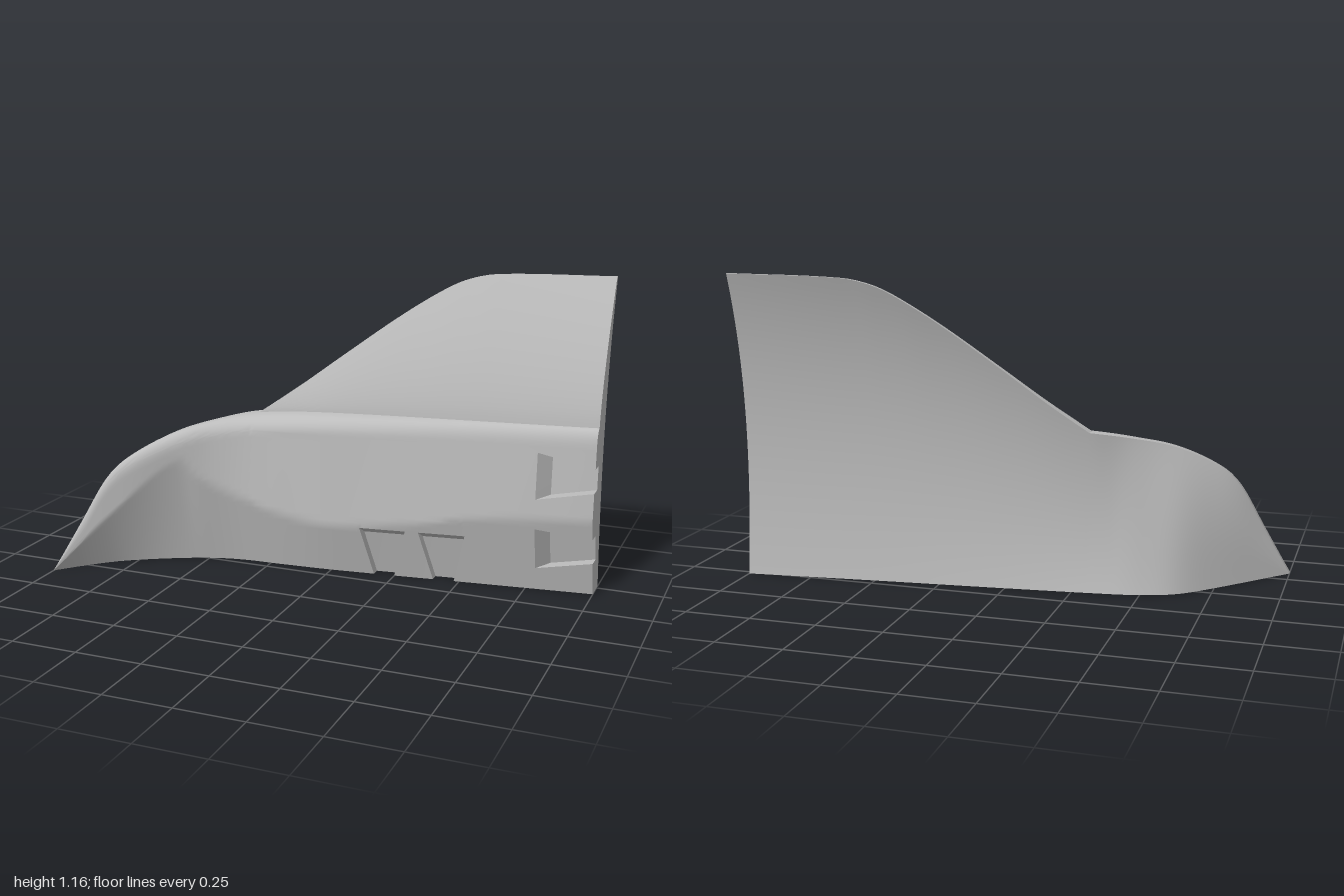
import * as THREE from 'three';
import { mergeGeometries, toCreasedNormals } from 'three/addons/utils/BufferGeometryUtils.js';

// Smooth curve through a few [x, value] points
function curve(pts) {
  const n = pts.length;
  const slope = (i) => {
    const a = pts[Math.max(0, i - 1)], b = pts[Math.min(n - 1, i + 1)];
    return (b[1] - a[1]) / (b[0] - a[0]);
  };
  return (x) => {
    let i = 0;
    while (i < n - 2 && x > pts[i + 1][0]) i++;
    const [x0, y0] = pts[i], [x1, y1] = pts[i + 1];
    const h = x1 - x0, t = Math.min(1, Math.max(0, (x - x0) / h));
    const t2 = t * t, t3 = t2 * t;
    return y0 * (2 * t3 - 3 * t2 + 1) + y1 * (3 * t2 - 2 * t3)
      + h * (slope(i) * (t3 - 2 * t2 + t) + slope(i + 1) * (t3 - t2));
  };
}

// Outline heights
const START = -0.31; // where the upper panel begins
const beltY = curve([[-1, 0], [-0.9, 0.2], [-0.82, 0.36], [-0.75, 0.44], [-0.6, 0.53],
  [-0.45, 0.575], [START, 0.6], [0, 0.62], [1, 0.645]]);
const panelY = curve([[START, 0.6], [-0.15, 0.715], [0, 0.83], [0.2, 0.98], [0.35, 1.08],
  [0.45, 1.13], [0.57, 1.155], [1, 1.165]]);
const topY = (x) => (x <= START ? beltY(x) : Math.max(beltY(x), panelY(x)));
// Depths of the front surface at its foot, break line, shoulder and belt
const footZ = curve([[-1, 0.355], [-0.9, 0.245], [-0.8, 0.155], [-0.57, 0.025], [-0.4, -0.03],
  [-0.2, -0.045], [0, -0.06], [0.5, -0.12], [1, -0.18]]);
const breakY = curve([[-1, 0], [-0.8, 0.22], [-0.57, 0.43], [-0.5, 0.36], [-0.4, 0.3],
  [-0.2, 0.23], [0, 0.2], [0.3, 0.23], [0.6, 0.28], [1, 0.305]]);
const breakZ = curve([[-1, 0.36], [-0.77, 0.235], [-0.57, 0.115], [-0.4, 0.04], [-0.19, 0.01],
  [0, -0.005], [0.5, -0.055], [1, -0.105]]);
const shoulderZ = curve([[-1, 0.36], [-0.77, 0.235], [-0.57, 0.115], [-0.45, 0.045],
  [-0.3, 0], [0, -0.03], [0.5, -0.08], [1, -0.118]]);
const beltZ = curve([[-1, 0.35], [-0.8, 0.22], [-0.6, 0.08], [-0.45, -0.015], [START, -0.08],
  [0, -0.105], [0.5, -0.125], [1, -0.15]]);
const panelZ = curve([[START, -0.08], [-0.15, -0.13], [0, -0.175], [0.2, -0.232], [0.35, -0.274],
  [0.5, -0.303], [1, -0.345]]);
const topZ = (x) => (x <= START ? beltZ(x) : panelZ(x));
// Thickness of the top edge, and foot of the back surface
const edge = curve([[-1, 0.02], [-0.6, 0.025], [START, 0.04], [0, 0.022], [0.4, 0.015], [1, 0.015]]);
const backZ = curve([[-1, 0.33], [-0.72, 0.03], [-0.62, -0.055], [-0.5, -0.1], [-0.4, -0.12],
  [0, -0.165], [0.5, -0.215], [1, -0.27]]);

function frontZ(x, y) {
  const yb = beltY(x), ym = breakY(x), ys = yb - Math.min(0.07, 0.3 * yb);
  if (y <= ym) return THREE.MathUtils.lerp(footZ(x), breakZ(x), ym > 0 ? y / ym : 0);
  if (y <= ys) return THREE.MathUtils.lerp(breakZ(x), shoulderZ(x), (y - ym) / (ys - ym));
  if (y <= yb) {
    const q = Math.min(1, (y - ys) / Math.max(1e-6, yb - ys));
    return beltZ(x) + (shoulderZ(x) - beltZ(x)) * Math.sqrt(1 - q * q);
  }
  const p = Math.min(1, (y - yb) / Math.max(1e-6, topY(x) - yb));
  return beltZ(x) + (topZ(x) - beltZ(x)) * Math.pow(p, 1.4);
}

function rearZ(x, y) {
  const t = Math.min(1, y / Math.max(1e-6, topY(x)));
  const bulge = 0.13 * Math.min(1, (x + 1) / 0.6);
  return backZ(x) + (topZ(x) - edge(x) - backZ(x)) * t ** 3 + bulge * t * (1 - t);
}

// Surface over two lists of parameters; cells may be skipped
function sheet(us, vs, point, skip = () => false) {
  const pos = [], index = [], n = vs.length, P = [];
  for (const u of us) for (const v of vs) {
    const p = new THREE.Vector3(...point(u, v));
    P.push(p);
    pos.push(p.x, p.y, p.z);
  }
  const area = new THREE.Triangle();
  const tri = (a, b, c) => {
    if (area.set(P[a], P[b], P[c]).getArea() > 1e-9) index.push(a, b, c);
  };
  for (let i = 0; i < us.length - 1; i++) for (let j = 0; j < n - 1; j++) {
    if (skip((us[i] + us[i + 1]) / 2, (vs[j] + vs[j + 1]) / 2)) continue;
    const a = i * n + j, b = a + n;
    tri(a, b, b + 1);
    tri(a, b + 1, a + 1);
  }
  const g = new THREE.BufferGeometry();
  g.setAttribute('position', new THREE.Float32BufferAttribute(pos, 3));
  g.setIndex(index);
  return g;
}

const steps = (a, b, n) => Array.from({ length: n + 1 }, (_, i) => a + (b - a) * i / n);
const sorted = (list) => [...new Set(list.map((v) => +v.toFixed(4)))].sort((a, b) => a - b);

// Tapered pockets: corners anticlockwise, first edge open; span is the open side of the frame,
// inset is how far the floor stops short of the closed end
const low = { depth: 0.035, inset: 0.13 }, side = { depth: 0.053, inset: 0.21 };
const pockets = [
  { q: [[0.17, 0], [0.25, 0], [0.305, 0.2], [0.13, 0.2]], span: [[0.13, 0], [0.305, 0]], ...low },
  { q: [[0.4, 0], [0.48, 0], [0.53, 0.2], [0.355, 0.2]], span: [[0.355, 0], [0.53, 0]], ...low },
  { q: [[1, 0.41], [1, 0.5], [0.79, 0.545], [0.79, 0.37]], span: [[1, 0.37], [1, 0.545]], ...side },
  { q: [[1, 0.13], [1, 0.23], [0.79, 0.255], [0.79, 0.09]], span: [[1, 0.09], [1, 0.255]], ...side },
];
const inPocket = (x, y) => pockets.some(({ span: [a, b], q }) =>
  x > Math.min(a[0], q[3][0]) && x < Math.max(b[0], q[2][0])
  && y > a[1] && y < Math.max(b[1], q[2][1]));

function pocketSheets({ q, span, depth, inset }) {
  const s = steps(0, 1, 8);
  const mix = (a, b, t) => [a[0] + (b[0] - a[0]) * t, a[1] + (b[1] - a[1]) * t];
  const floor = [q[0], q[1], mix(q[2], q[1], inset), mix(q[3], q[0], inset)];
  const quad = (a, b, c, d, drop) => sheet(s, s, (u, v) => {
    const [x, y] = mix(mix(a, b, u), mix(d, c, u), v);
    return [x, y, frontZ(x, y) - drop];
  });
  const walls = [1, 2, 3].map((i) => sheet(s, [0, 1], (u, v) => {
    const ring = v ? floor : q;
    const [x, y] = mix(ring[i], ring[(i + 1) % 4], u);
    return [x, y, frontZ(x, y) - depth * v];
  }));
  return [quad(...floor, depth), quad(span[0], q[0], q[3], q[3], 0),
    quad(q[1], span[1], q[2], q[2], 0), ...walls];
}

export function createModel() {
  const group = new THREE.Group();
  group.name = 'curvedShell';
  const grey = new THREE.MeshStandardMaterial({ color: 0xbcbcbc, side: THREE.DoubleSide });
  grey.name = 'plain grey';

  const xs = sorted([...steps(-1, 1, 100), -0.99, -0.97, START, 0.13, 0.305, 0.355, 0.53, 0.79]);
  const rows = sorted([...steps(0, 0.54, 27), 0.09, 0.255, 0.37, 0.545, 0.55, 0.56, 0.57, 0.58,
    0.587, 0.593, 0.597, 0.6]);
  const panelXs = xs.filter((x) => x >= START);

  // Rows are level over the pockets and close up towards the tip
  const rowY = (x, r) => {
    const yb = beltY(x), k = Math.min(1, yb / 0.6);
    return k * r + Math.max(0, r - 0.55) / 0.05 * (yb - 0.6 * k);
  };
  const parts = [
    // Lower front body
    sheet(xs, rows, (x, r) => {
      const y = rowY(x, r);
      return [x, y, frontZ(x, y)];
    }, inPocket),
    // Upper front panel
    sheet(panelXs, steps(0, 1, 20), (x, v) => {
      const y = beltY(x) + (topY(x) - beltY(x)) * v;
      return [x, y, frontZ(x, y)];
    }),
    // Back
    sheet([...xs].reverse(), steps(0, 1, 36), (x, v) => [x, v * topY(x), rearZ(x, v * topY(x))]),
    // Thin top edge
    sheet(xs, [0, 1], (x, v) => [x, topY(x), topZ(x) - edge(x) * v]),
    ...pockets.flatMap(pocketSheets),
  ];

  // Underside and end face, stepped in where the pockets run out
  const strips = (bounds, depth, n, place) => {
    for (let i = 0; i < bounds.length - 1; i++) {
      const drop = i % 2 ? depth : 0;
      parts.push(sheet(steps(bounds[i], bounds[i + 1], n), [0, 1], (u, v) => {
        const [x, y] = place(u);
        return [x, y, v ? frontZ(x, y) - drop : rearZ(x, y)];
      }));
    }
  };
  strips([-1, 0.17, 0.25, 0.4, 0.48, 1], low.depth, 40, (u) => [u, 0]);
  strips([0, 0.13, 0.23, 0.41, 0.5, topY(1)], side.depth, 40, (u) => [1, u]);

  const shell = new THREE.Mesh(toCreasedNormals(mergeGeometries(parts), 0.5), grey);
  shell.name = 'shell';
  group.add(shell);
  return group;
}
